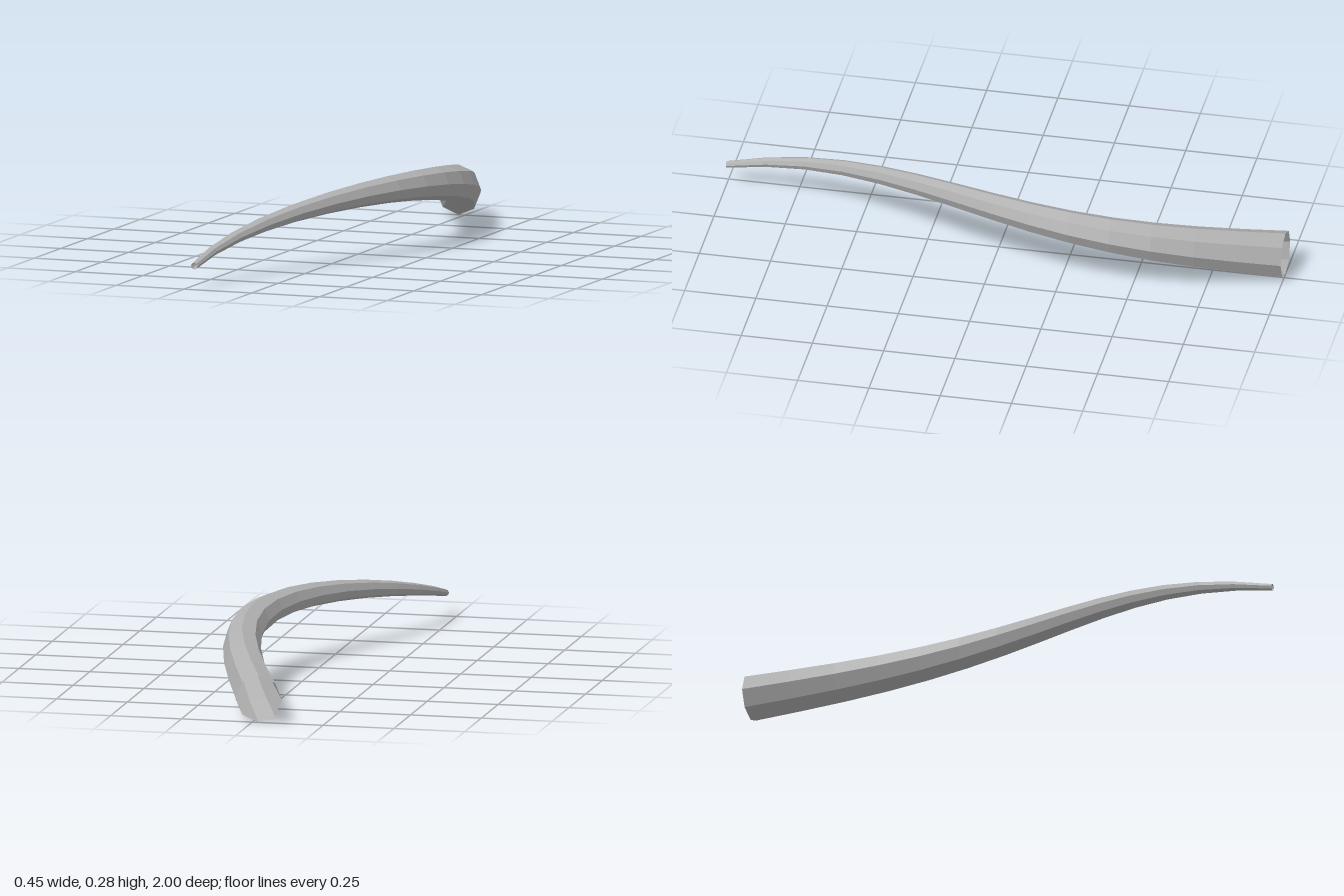
import * as THREE from 'three';

const SIDES = 8, SEGMENTS = 14;

// Centre line: three quarters of a sine wave sideways, one arch upward
const centreX = t => -0.023 + 0.189 * Math.sin(1.5 * Math.PI * t);
const centreY = t => 0.083 + 0.148 * Math.sin(Math.PI * t);
const radius = t => THREE.MathUtils.lerp(0.082, 0.012, t);

export function createModel() {
  const grey = new THREE.MeshStandardMaterial({ color: 0xb0b0b0, flatShading: true, side: THREE.DoubleSide });
  grey.name = 'grey';

  // Open eight-sided tube along z, from the wide root (z = -1) to the tip (z = 1)
  const geometry = new THREE.CylinderGeometry(1, 1, 2, SIDES, SEGMENTS, true);
  geometry.rotateX(Math.PI / 2);

  // Taper each upright ring and shift it onto the centre line
  const p = geometry.attributes.position;
  for (let i = 0; i < p.count; i++) {
    const t = (p.getZ(i) + 1) / 2;
    p.setX(i, centreX(t) + p.getX(i) * radius(t));
    p.setY(i, centreY(t) + p.getY(i) * radius(t));
  }
  geometry.computeVertexNormals();

  const horn = new THREE.Mesh(geometry, grey);
  horn.name = 'taperedHorn';
  const model = new THREE.Group();
  model.name = 'curvedHorn';
  model.add(horn);
  return model;
}
